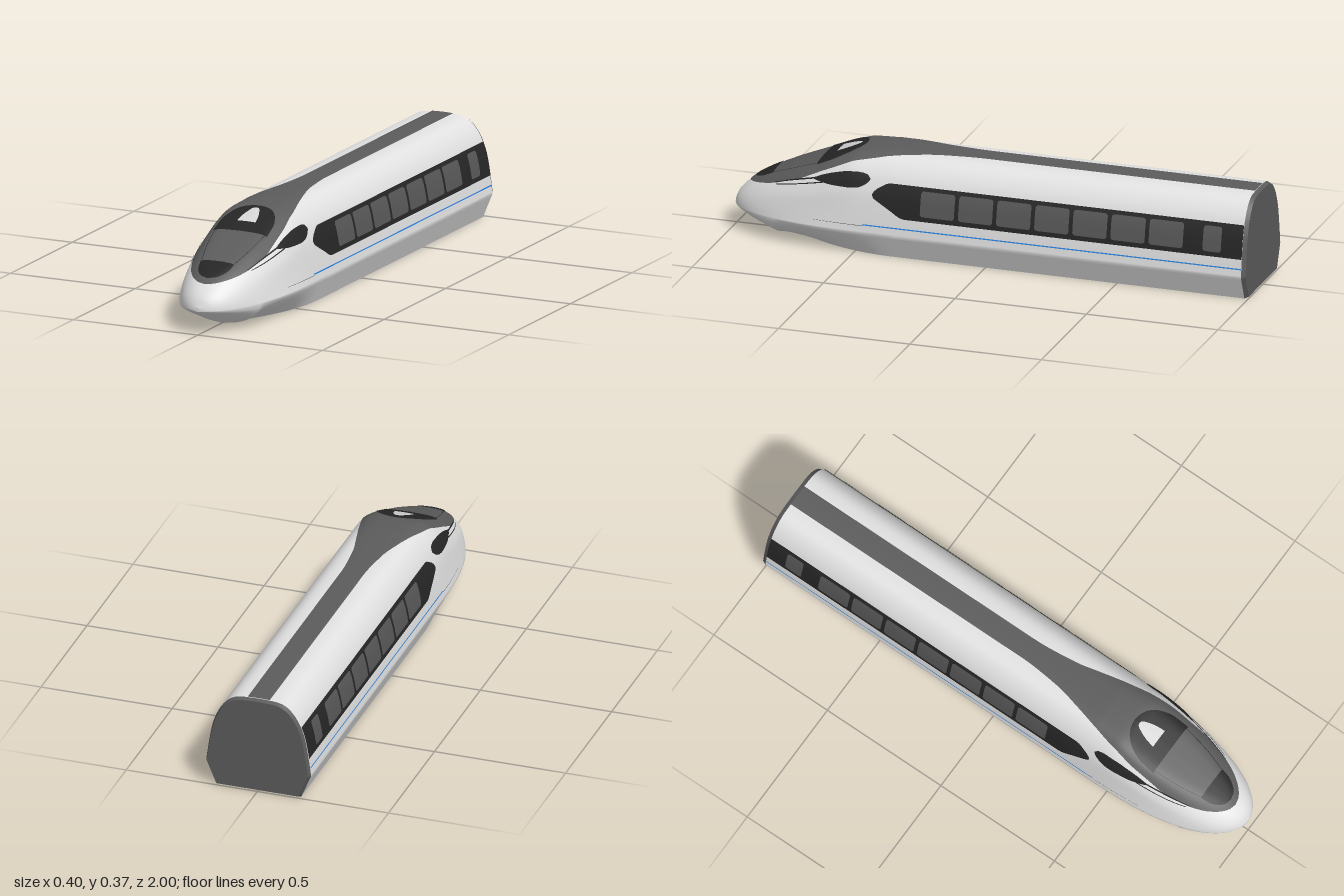
import * as THREE from 'three';

const mat = (name, color) => Object.assign(new THREE.MeshStandardMaterial({ color }), { name });
const BELT = 0.09, BACK = -0.985;

// Smooth, non-overshooting interpolation of column c in rows sorted by their first value
function interp(rows, v, c = 1) {
  const n = rows.length - 1;
  if (v <= rows[0][0]) return rows[0][c];
  if (v >= rows[n][0]) return rows[n][c];
  let i = 0;
  while (v > rows[i + 1][0]) i++;
  const sec = (k) => (rows[k + 1][c] - rows[k][c]) / (rows[k + 1][0] - rows[k][0]);
  const slope = (k) => {
    if (k === 0) return sec(0);
    if (k === n) return sec(n - 1);
    const a = sec(k - 1), b = sec(k);
    return a * b <= 0 ? 0 : (2 * a * b) / (a + b);
  };
  const h = rows[i + 1][0] - rows[i][0], t = (v - rows[i][0]) / h, t2 = t * t, t3 = t2 * t;
  return (2 * t3 - 3 * t2 + 1) * rows[i][c] + (t3 - 2 * t2 + t) * h * slope(i)
    + (3 * t2 - 2 * t3) * rows[i + 1][c] + (t3 - t2) * h * slope(i + 1);
}

// Hull lines along z: roof height, half width, keel height, flat floor half width
const TOP = [[0.4, 0.371], [0.5, 0.363], [0.57, 0.341], [0.65, 0.309], [0.8, 0.251], [0.9, 0.205],
  [0.95, 0.17], [0.985, 0.133], [1, 0.1]];
const top = (z) => interp(TOP, z);
const width = (z) => 0.2 * Math.sqrt(Math.max(0, 1 - Math.max(0, (z - 0.45) / 0.55) ** 2.4));
const keel = (z) => Math.max(0, (z - 0.8) / 0.2) * 0.085;
const floorRatio = (z) => 0.81 * Math.sqrt(Math.max(0, 1 - Math.max(0, (z - 0.35) / 0.46) ** 2));

// Upper half section, x as share of the half width, y from belt (0) to roof (1)
const UPPER = new THREE.SplineCurve([[0.2, 0.09], [0.191, 0.155], [0.18, 0.22], [0.169, 0.26], [0.151, 0.302],
  [0.127, 0.336], [0.1, 0.358], [0.065, 0.368], [0, 0.371]]
  .map(([x, y]) => new THREE.Vector2(x / 0.2, (y - BELT) / 0.281))).getPoints(48);
// Roundness of the section: boxier at the cab, elliptical at the nose
const ROUND = [[0.42, 0], [0.6, -0.3], [0.72, -0.15], [0.85, 0.35], [0.92, 0.8], [1, 0.9]];
function upper(z) {
  const k = interp(ROUND, z);
  return UPPER.map(({ x, y }) => ({ x: THREE.MathUtils.lerp(x, Math.sqrt(Math.max(0, 1 - y * y)), k), y }));
}
function lookup(z, from, to, v) {
  const pts = upper(z);
  for (let i = 0; i < pts.length - 1; i++) {
    const a = pts[i], b = pts[i + 1];
    if ((v - a[from]) * (v - b[from]) <= 0) return a[to] + (b[to] - a[to]) * (v - a[from]) / (b[from] - a[from] || 1);
  }
  return pts[from === 'x' ? 0 : pts.length - 1][to];
}
const sideX = (z, y) => width(z) * lookup(z, 'y', 'x', (y - BELT) / (top(z) - BELT));
const roofY = (z, x) => BELT + (top(z) - BELT) * lookup(z, 'x', 'y', Math.min(1, Math.abs(x) / width(z)));

// Whole section from the left floor edge over the roof to the right floor edge
function section(z) {
  const w = width(z), f = floorRatio(z), round = 1 - f / 0.81, half = [];
  for (let i = 0; i < 8; i++) {
    const t = i / 8, a = (t * Math.PI) / 2, k = keel(z);
    const x = THREE.MathUtils.lerp(f + (1 - f) * t, Math.sin(a), round);
    const y = THREE.MathUtils.lerp(t, 1 - Math.cos(a), round);
    half.push([x * w, k + (BELT - k) * y]);
  }
  upper(z).forEach((p) => half.push([p.x * w, BELT + (top(z) - BELT) * p.y]));
  return half.concat(half.slice(0, -1).reverse().map(([x, y]) => [-x, y]));
}

// Smooth surface through rows of [x, y, z] points
function loft(rows) {
  const m = rows[0].length, index = [];
  for (let i = 0; i < rows.length - 1; i++) for (let j = 0; j < m - 1; j++) {
    const a = i * m + j, b = a + m;
    index.push(a, a + 1, b, a + 1, b + 1, b);
  }
  const g = new THREE.BufferGeometry();
  g.setAttribute('position', new THREE.Float32BufferAttribute(rows.flat(2), 3));
  g.setIndex(index);
  g.computeVertexNormals();
  return g;
}

// Thin skin on the hull; keys are [z, from, to], place maps (z, value) to a point
function skin(keys, cols, place) {
  const rows = [];
  keys.forEach((k, i) => {
    const next = keys[i + 1], n = next ? Math.max(2, Math.ceil((next[0] - k[0]) / 0.015)) : 1;
    for (let s = 0; s < n; s++) {
      const z = next ? k[0] + ((next[0] - k[0]) * s) / n : k[0];
      const a = interp(keys, z, 1), b = interp(keys, z, 2);
      rows.push(Array.from({ length: cols + 1 }, (_, j) => place(z, a + ((b - a) * j) / cols)));
    }
  });
  return loft(rows);
}
const E = 0.004;
const lift = (p, n, off) => new THREE.Vector3(...n).normalize().multiplyScalar(off).add(new THREE.Vector3(...p)).toArray();
const onRoof = (keys, off) => skin(keys.map(([z, h]) => [z, h, -h]), 24, (z, x) => lift([x, roofY(z, x), z],
  [(roofY(z, x - E) - roofY(z, x + E)) / (2 * E), 1, (roofY(z - E, x) - roofY(z + E, x)) / (2 * E)], off));
const onSide = (keys, off, s) => skin(s > 0 ? keys : keys.map(([z, a, b]) => [z, b, a]), 10, (z, y) => lift([s * sideX(z, y), y, z],
  [s, (sideX(z, y - E) - sideX(z, y + E)) / (2 * E), (sideX(z - E, y) - sideX(z + E, y)) / (2 * E)], off));

export function createModel() {
  const white = mat('body white', 0xe2e2e2), grey = mat('roof grey', 0x5c5c5c), black = mat('glass black', 0x262626);
  const pane = mat('window grey', 0x575757), blue = mat('stripe blue', 0x2f8cf0), under = mat('underside light grey', 0xc6c6c6);
  const light = mat('lamp light grey', 0xd6d6d6);
  const model = new THREE.Group();
  model.name = 'train';
  const add = (name, geometry, material) => {
    const m = new THREE.Mesh(geometry, material);
    m.name = name;
    model.add(m);
  };

  // Hull, with rows packed towards the nose tip
  const zs = [BACK, -0.5, 0, 0.34];
  for (let i = 1; i <= 56; i++) zs.push(1 - 0.66 * (1 - i / 56) ** 2);
  add('body', loft(zs.map((z) => section(z).map(([x, y]) => [x, y, z]))), white);

  // Flat floor, rounded at the front
  const fz = [BACK, 0.35];
  for (let i = 1; i <= 24; i++) fz.push(0.35 + 0.46 * Math.sin((i / 24) * Math.PI / 2));
  add('floor', loft(fz.map((z) => {
    const w = floorRatio(z) * width(z);
    return [[-w, keel(z), z], [w, keel(z), z]];
  })), under);

  // Bevelled rear frame and end wall
  const ring = section(BACK), small = ring.map(([x, y]) => [x * 0.965, 0.185 + (y - 0.185) * 0.965]);
  add('rearFrame', loft([[small, -1], [ring, BACK]].map(([r, z]) => [...r, r[0]].map(([x, y]) => [x, y, z]))), grey);
  const wall = new THREE.ShapeGeometry(new THREE.Shape(small.map(([x, y]) => new THREE.Vector2(x, y))));
  add('rearWall', wall.rotateY(Math.PI).translate(0, 0, -1), grey);

  // Roof band widening into the cab hood
  add('roofBand', onRoof([[BACK, 0.042], [0.03, 0.042], [0.2, 0.056], [0.3, 0.078], [0.4, 0.102], [0.5, 0.123],
    [0.6, 0.134], [0.7, 0.134], [0.8, 0.117], [0.86, 0.095], [0.9, 0.07], [0.925, 0.046], [0.938, 0.025], [0.944, 0]], 0.002), grey);
  add('windshield', onRoof([[0.5, 0], [0.505, 0.03], [0.52, 0.06], [0.55, 0.086], [0.6, 0.104], [0.658, 0.107]], 0.004), black);
  add('cabLamp', onRoof([[0.52, 0], [0.523, 0.01], [0.54, 0.02], [0.57, 0.031], [0.605, 0.037]], 0.006), light);
  add('noseHatch', onRoof([[0.838, 0.066], [0.87, 0.06], [0.9, 0.043], [0.915, 0.025], [0.922, 0]], 0.004), black);
  // Seams of the hood panel
  for (const s of [1, -1]) {
    add('hoodSeam', skin([[0.658, 0.1, 0.098], [0.75, 0.088, 0.086], [0.838, 0.066, 0.064]].map(([z, a, b]) => (s > 0 ? [z, a, b] : [z, -b, -a])),
      1, (z, x) => [x, roofY(z, x) + 0.004, z]), black);
  }

  const pitch = 0.145;
  for (const s of [1, -1]) {
    const side = s > 0 ? 'left' : 'right';
    // Window band with pointed front
    add(side + 'WindowBand', onSide([[BACK, 0.158, 0.28], [0.3, 0.158, 0.28], [0.36, 0.187, 0.28], [0.4, 0.21, 0.262],
      [0.42, 0.222, 0.246], [0.426, 0.233, 0.234]], 0.002, s), black);
    const windowPane = (name, z0, z1) => add(name, onSide([[z0, 0.184, 0.257], [z0 + 0.003, 0.178, 0.263], [z0 + 0.01, 0.175, 0.266],
      [z1 - 0.01, 0.175, 0.266], [z1 - 0.003, 0.178, 0.263], [z1, 0.184, 0.257]], 0.004, s), pane);
    for (let i = 0; i < 7; i++) windowPane(side + 'Window', 0.11 - i * pitch, 0.24 - i * pitch);
    windowPane(side + 'DoorWindow', -0.905, -0.835);

    // Cab side window with two streaks running to the nose
    add(side + 'CabWindow', onSide([[0.438, 0.282, 0.288], [0.45, 0.27, 0.3], [0.48, 0.254, 0.305], [0.52, 0.249, 0.303],
      [0.58, 0.249, 0.29], [0.62, 0.252, 0.277], [0.655, 0.256, 0.262]], 0.003, s), black);
    add(side + 'UpperStreak', onSide([[0.64, 0.261, 0.266], [0.74, 0.235, 0.239], [0.82, 0.21, 0.212]], 0.003, s), black);
    add(side + 'LowerStreak', onSide([[0.62, 0.25, 0.254], [0.72, 0.227, 0.23], [0.81, 0.207, 0.209]], 0.003, s), black);

    // Waist stripe
    add(side + 'Stripe', onSide([[BACK, 0.12, 0.1245], [0.455, 0.12, 0.1245]], 0.002, s), blue);
    add(side + 'StripeTip', onSide([[0.455, 0.117, 0.119], [0.65, 0.117, 0.118]], 0.002, s), grey);
  }
  return model;
}
